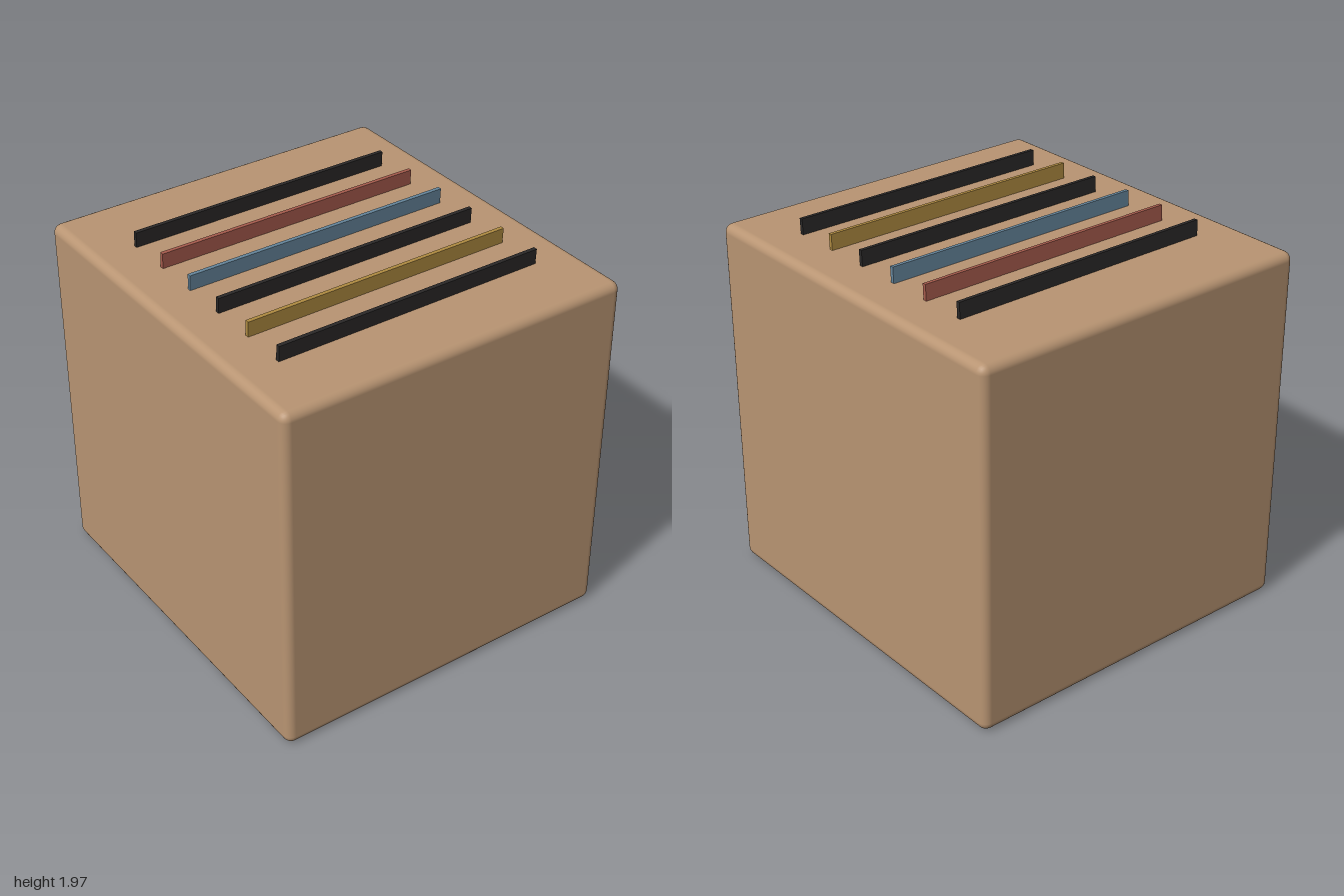
import * as THREE from 'three';
import { RoundedBoxGeometry } from 'three/addons/geometries/RoundedBoxGeometry.js';

const HEIGHT = 1.89;

function part(name, geometry, color) {
  const mesh = new THREE.Mesh(geometry, new THREE.MeshStandardMaterial({ color }));
  mesh.name = name;
  return mesh;
}

export function createModel() {
  const model = new THREE.Group();
  model.name = 'crate';

  // Solid block with softened edges
  const body = part('body', new RoundedBoxGeometry(2, HEIGHT, 1.88, 3, 0.045), 0xb89472);
  body.position.y = HEIGHT / 2;
  model.add(body);

  // Row of thin cards standing out of the top, all leaning slightly to +x
  const cards = new THREE.Group();
  cards.name = 'cards';
  const colors = [0x2a2828, 0xa55a4c, 0x64849a, 0x2a2828, 0xae8a40, 0x2a2828];
  const cardGeometry = new THREE.BoxGeometry(0.02, 0.12, 1.44);
  colors.forEach((color, i) => {
    const card = part(`card${i + 1}`, cardGeometry, color);
    card.position.set(-0.565 + i * 0.24, HEIGHT + 0.02, 0);
    card.rotation.z = -0.05;
    cards.add(card);
  });
  model.add(cards);

  return model;
}
